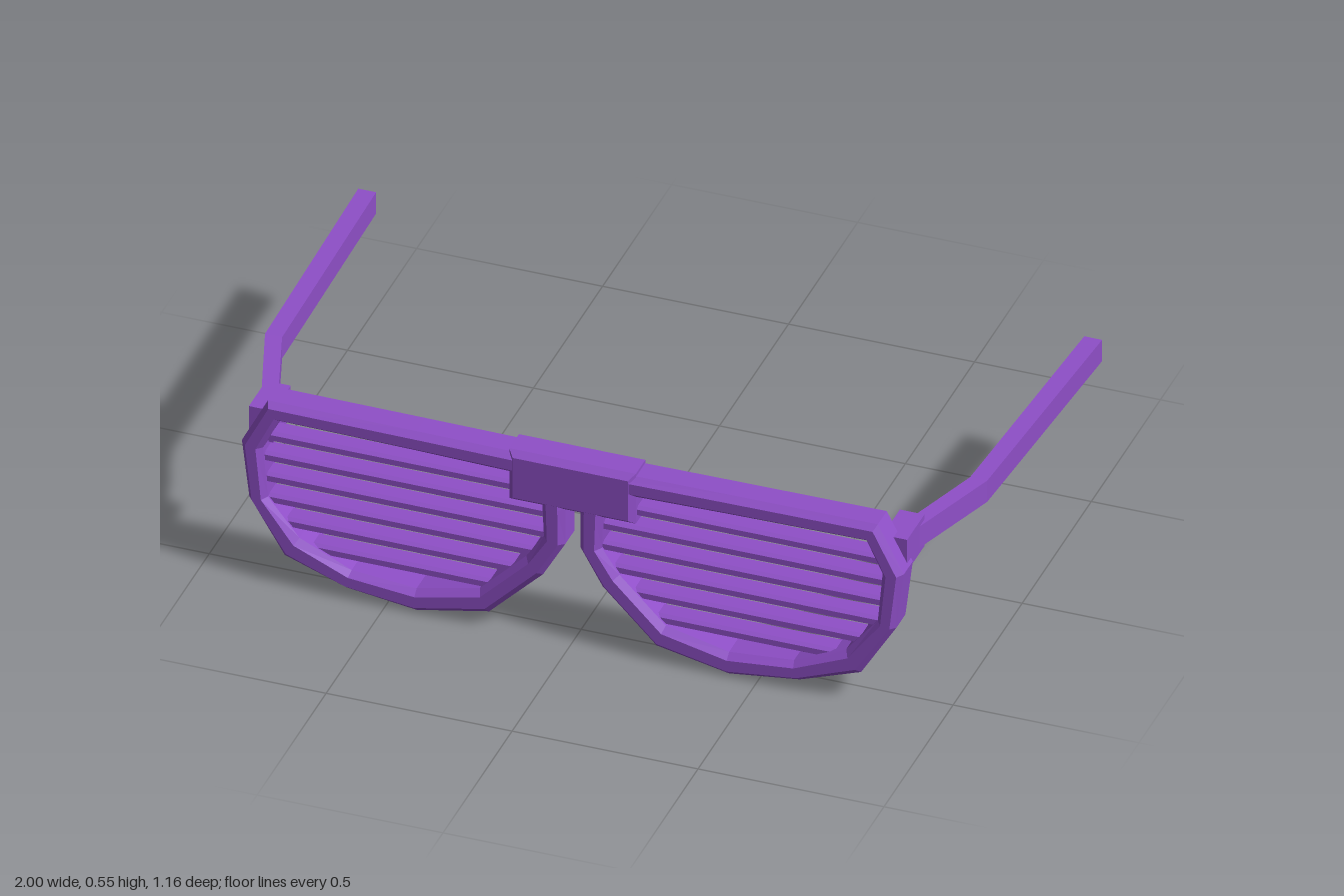
import * as THREE from 'three';

// Skin a row of equal-sized cross-sections; ring = last section joins the first
function loft(sections, ring = false) {
  const pos = [], n = sections.length, m = sections[0].length;
  const tri = (a, b, c) => pos.push(...a, ...b, ...c);
  for (let i = 0; i < (ring ? n : n - 1); i++) {
    const A = sections[i], B = sections[(i + 1) % n];
    for (let j = 0; j < m; j++) {
      const k = (j + 1) % m;
      tri(A[j], A[k], B[j]);
      tri(A[k], B[k], B[j]);
    }
  }
  if (!ring) {
    const A = sections[0], B = sections[n - 1];
    for (let j = 1; j < m - 1; j++) {
      tri(A[0], A[j + 1], A[j]);
      tri(B[0], B[j], B[j + 1]);
    }
  }
  const g = new THREE.BufferGeometry();
  g.setAttribute('position', new THREE.Float32BufferAttribute(pos, 3));
  g.computeVertexNormals();
  return g;
}

// Mirror in x, reversing the path so faces still point outward
const mirror = (sections, s) => s > 0 ? sections
  : sections.map(sec => sec.map(([x, y, z]) => [-x, y, z])).reverse();

// Rectangle section in the xy plane
const rect = (x, y, w, h, z) => [
  [x + w / 2, y + h / 2, z], [x + w / 2, y - h / 2, z],
  [x - w / 2, y - h / 2, z], [x - w / 2, y + h / 2, z]];

const OUTER = [[.82, .545], [.89, .41], [.87, .245], [.775, .09], [.61, .03], [.42, .005],
  [.225, .045], [.08, .19], [.02, .295], [.02, .4], [.03, .54], [.42, .543]];
const INNER = [[.79, .49], [.833, .4], [.82, .255], [.735, .15], [.595, .085], [.42, .07],
  [.25, .11], [.125, .235], [.078, .305], [.082, .4], [.085, .478], [.42, .485]];
const mix = (i, t) => OUTER[i].map((v, k) => v + (INNER[i][k] - v) * t);

// Horizontal extent of the rim's centre line at height y
function span(y) {
  const xs = [];
  for (let i = 0; i < OUTER.length; i++) {
    const a = mix(i, .6), b = mix((i + 1) % OUTER.length, .6);
    if ((a[1] - y) * (b[1] - y) < 0) xs.push(a[0] + (b[0] - a[0]) * (y - a[1]) / (b[1] - a[1]));
  }
  return [Math.min(...xs), Math.max(...xs)];
}

export function createModel() {
  const model = new THREE.Group();
  model.name = 'shutterGlasses';
  const purple = new THREE.MeshStandardMaterial({ color: 0x8f4fc8 });
  purple.name = 'purplePlastic';
  purple.flatShading = true;
  const add = (name, geometry) => {
    const mesh = new THREE.Mesh(geometry, purple);
    mesh.name = name;
    model.add(mesh);
    return mesh;
  };

  for (const s of [1, -1]) {
    const side = s > 0 ? 'left' : 'right';

    // Rim with chamfered front edges
    const profile = [[0, .495], [0, .56], [.25, .578], [.75, .578], [1, .56], [1, .495]];
    const rim = OUTER.map((_, i) => profile.map(([t, z]) => [...mix(i, t), z]));
    add(side + 'Rim', loft(mirror(rim, s), true));

    // Shutter slats, ends buried in the rim
    for (let i = 0; i < 6; i++) {
      const y = .43 - i * .062;
      const section = x => [[x, y + .015, .502], [x, y + .015, .545], [x, y + .008, .555],
        [x, y - .008, .555], [x, y - .015, .545], [x, y - .015, .502]];
      add(side + 'Slat' + (i + 1), loft(mirror(span(y).map(section), s)));
    }

    // Hinge block
    add(side + 'Hinge', new THREE.BoxGeometry(.066, .095, .125)).position.set(s * .852, .4425, .4605);

    // Temple arm, bent outward and then sloping down to the back
    const arm = [rect(.86, .443, .045, .064, .44), rect(.948, .443, .046, .064, .175),
      rect(.976, .412, .048, .064, -.578)];
    add(side + 'Arm', loft(mirror(arm, s)));
  }

  // Bridge block with chamfered front
  add('bridge', loft([rect(0, .475, .31, .12, .58), rect(0, .475, .34, .15, .562),
    rect(0, .475, .34, .15, .493)]));
  return model;
}
